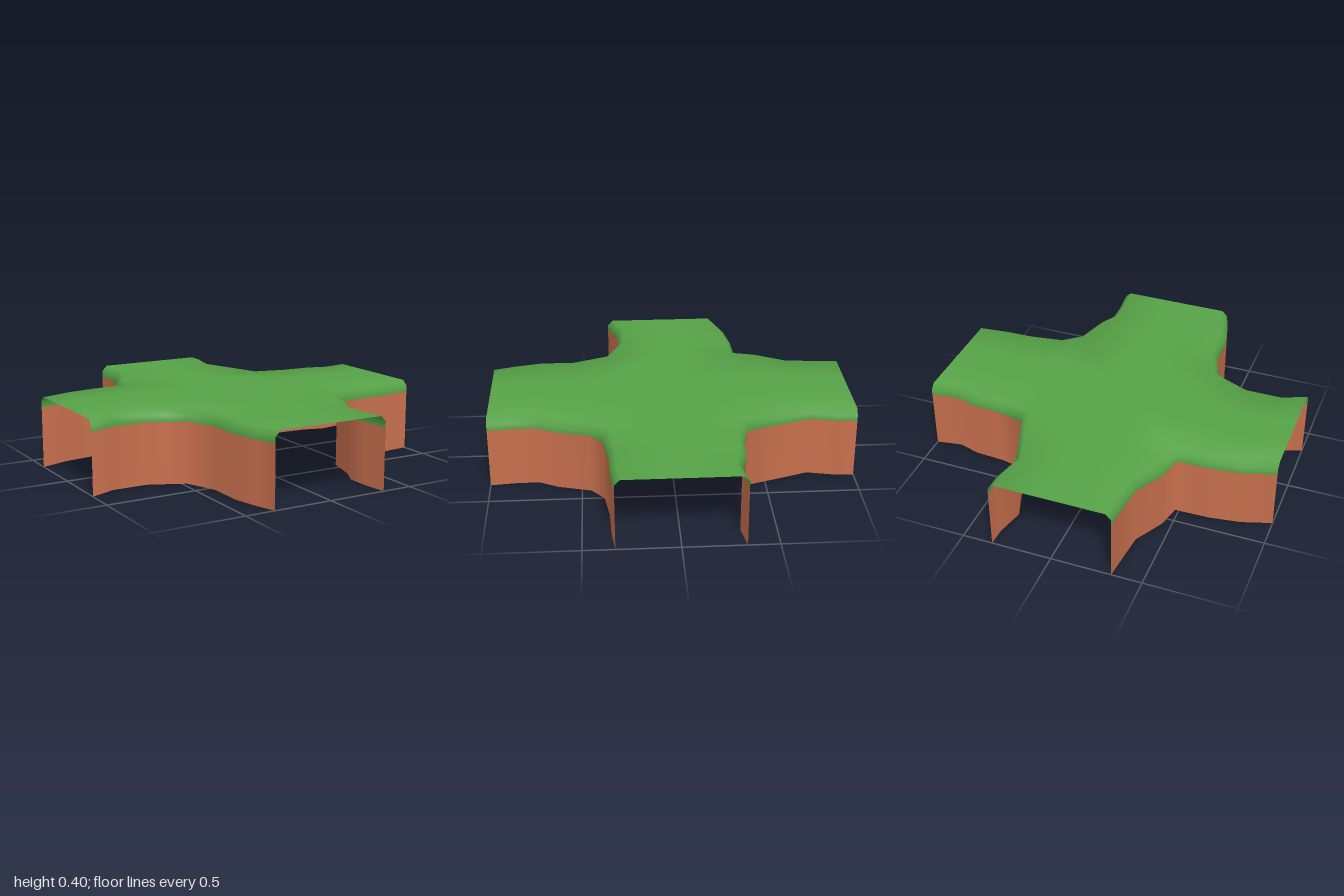
import * as THREE from 'three';

// Corner outlines as [x, z], clockwise from above; index 4 is the inner corner.
const CORNERS = {
  backRight: [[-1, -0.333], [-0.84, -0.385], [-0.67, -0.41], [-0.575, -0.413], [-0.48, -0.415],
    [-0.45, -0.545], [-0.36, -0.71], [-0.347, -0.85], [-0.333, -1]],
  backLeft: [[0.333, -1], [0.33, -0.9], [0.295, -0.745], [0.345, -0.6], [0.415, -0.39],
    [0.575, -0.355], [0.74, -0.345], [0.86, -0.31], [1, -0.333]],
  frontLeft: [[1, 0.333], [0.85, 0.35], [0.68, 0.355], [0.505, 0.38], [0.42, 0.45],
    [0.37, 0.63], [0.315, 0.735], [0.315, 0.85], [0.33, 1]],
  frontRight: [[-0.333, 1], [-0.37, 0.89], [-0.405, 0.735], [-0.405, 0.545], [-0.475, 0.365],
    [-0.57, 0.32], [-0.67, 0.275], [-0.86, 0.275], [-1, 0.333]],
};
const TOP = 0.4, CHAMFER = 0.37, GRASS = 0.335, INSET = 0.03;
const ACROSS = [0, 0.35, 0.65, 1];
const UP = new THREE.Vector3(0, 1, 0);

// Outward direction at each outline point; the open ends stay square to their arm.
function outlineNormals(pts) {
  const seg = pts.slice(1).map((p, i) =>
    new THREE.Vector3(p[1] - pts[i][1], 0, pts[i][0] - p[0]).normalize());
  return pts.map((p, i) => {
    if (i > 0 && i < pts.length - 1) return seg[i - 1].clone().add(seg[i]).normalize();
    const n = seg[Math.min(i, seg.length - 1)];
    return Math.abs(n.x) > Math.abs(n.z)
      ? new THREE.Vector3(Math.sign(n.x), 0, 0) : new THREE.Vector3(0, 0, Math.sign(n.z));
  });
}

// One row of the edge profile: inset from the outline, height, upward tilt of the normal.
function edgeRow(pts, inset, y, tilt) {
  return outlineNormals(pts).map((n, i) => ({
    p: new THREE.Vector3(pts[i][0], y, pts[i][1]).addScaledVector(n, -inset),
    n: n.clone().multiplyScalar(Math.cos(tilt)).addScaledVector(UP, Math.sin(tilt)),
  }));
}

// Surface through rows of points with smooth normals.
function gridMesh(name, rows, material) {
  const w = rows[0].length, index = [], flat = rows.flat();
  for (let i = 0; i < rows.length - 1; i++) {
    for (let j = 0; j < w - 1; j++) {
      const a = i * w + j, b = a + w;
      index.push(a, b, b + 1, a, b + 1, a + 1);
    }
  }
  const g = new THREE.BufferGeometry();
  g.setAttribute('position', new THREE.Float32BufferAttribute(flat.flatMap(v => v.p.toArray()), 3));
  g.setAttribute('normal', new THREE.Float32BufferAttribute(flat.flatMap(v => v.n.toArray()), 3));
  g.setIndex(index);
  const mesh = new THREE.Mesh(g, material);
  mesh.name = name;
  return mesh;
}

// Points across the grass between two edge points, level in the middle.
const span = (a, b) => ACROSS.map(t => ({
  p: a.p.clone().lerp(b.p, t),
  n: t === 0 ? a.n : t === 1 ? b.n : UP,
}));

export function createModel() {
  const grass = new THREE.MeshStandardMaterial({ color: 0x56a247, side: THREE.DoubleSide });
  grass.name = 'grass green';
  const earth = new THREE.MeshStandardMaterial({ color: 0xc76f4d, side: THREE.DoubleSide });
  earth.name = 'earth brown';
  const model = new THREE.Group();
  model.name = 'cliffCrossing';

  // Earth wall and rounded grass lip at each corner
  const rims = Object.entries(CORNERS).map(([name, pts]) => {
    const corner = new THREE.Group();
    corner.name = name + 'Corner';
    const rim = edgeRow(pts, INSET, TOP, 1.18);
    const grassFoot = edgeRow(pts, 0, GRASS, 0);
    corner.add(
      gridMesh('earthWall', [edgeRow(pts, 0, 0, 0), grassFoot], earth),
      gridMesh('grassLip', [grassFoot, edgeRow(pts, 0, CHAMFER, 0.39), rim], grass),
    );
    model.add(corner);
    return rim;
  });

  // Flat grass on the four arms
  ['back', 'left', 'front', 'right'].forEach((name, k) => {
    const a = rims[k], b = rims[(k + 1) % 4];
    const rows = [0, 1, 2, 3, 4].map(i => span(a[8 - i], b[i]));
    model.add(gridMesh(name + 'ArmGrass', rows, grass));
  });

  // Grass where the arms meet
  const [bl, br, fr, fl] = rims.map(r => r[4]);
  const west = span(bl, fl), east = span(br, fr);
  model.add(gridMesh('centreGrass', west.map((v, i) => span(v, east[i])), grass));
  return model;
}
